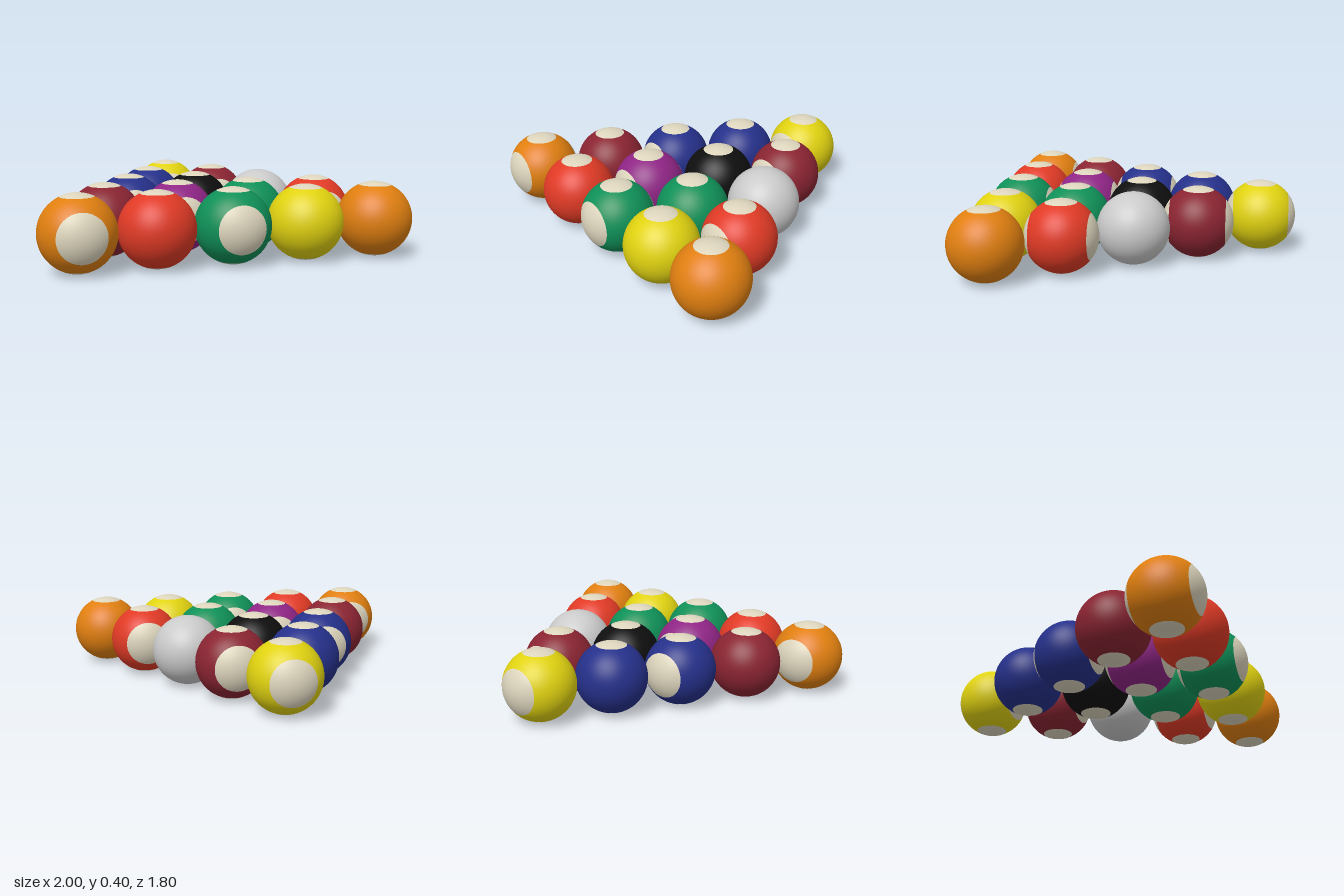
import * as THREE from 'three';

const R = 0.2;
const SPOT = 0.442; // half-angle of the round spots on top and bottom
const CAP = 0.68; // half-angle of the pale caps beside a stripe

const COLORS = {
  cream: 0xddd5bd, orange: 0xe07f10, red: 0xe03a25, green: 0x0f9058, yellow: 0xe0d210,
  maroon: 0x8a2432, purple: 0x8f2585, blue: 0x25308a, black: 0x0e0e0e, silver: 0xcacaca,
};

// [colour, striped, x, z]
const BALLS = [
  ['yellow', true, 0, -0.703],
  ['blue', false, -0.2, -0.355], ['maroon', true, 0.206, -0.355],
  ['blue', true, -0.397, 0], ['black', false, 0, -0.013], ['silver', false, 0.393, -0.013],
  ['maroon', false, -0.6, 0.343], ['purple', true, -0.2, 0.343],
  ['green', false, 0.206, 0.343], ['red', true, 0.598, 0.343],
  ['orange', true, -0.8, 0.697], ['red', false, -0.4, 0.697], ['green', true, 0, 0.697],
  ['yellow', false, 0.4, 0.697], ['orange', false, 0.8, 0.697],
];

// Part of a sphere between two angles measured from its upper pole
const zone = (from, to, rows, r = R) =>
  new THREE.SphereGeometry(r, 64, rows, 0, Math.PI * 2, from, to - from);

export function createModel() {
  const mats = {};
  for (const [name, color] of Object.entries(COLORS)) {
    mats[name] = new THREE.MeshStandardMaterial({ color });
    mats[name].name = name;
  }

  const fullGeo = zone(0, Math.PI, 40);
  const stripeGeo = zone(CAP, Math.PI - CAP, 24).rotateX(Math.PI / 2);
  const frontCapGeo = zone(0, CAP, 10).rotateX(Math.PI / 2);
  const backCapGeo = zone(Math.PI - CAP, Math.PI, 10).rotateX(Math.PI / 2);
  const topSpotGeo = zone(0, SPOT, 8, R + 0.0008);
  const bottomSpotGeo = zone(Math.PI - SPOT, Math.PI, 8, R + 0.0008);

  const model = new THREE.Group();
  model.name = 'billiardBallRack';

  BALLS.forEach(([color, striped, x, z]) => {
    const ball = new THREE.Group();
    ball.name = `${color}${striped ? 'Striped' : 'Solid'}Ball`;
    ball.position.set(x, R, z);
    const add = (name, geo, mat) => {
      const mesh = new THREE.Mesh(geo, mats[mat]);
      mesh.name = name;
      ball.add(mesh);
    };

    // Body: one full sphere, or a band between two pale caps
    if (striped) {
      add('stripe', stripeGeo, color);
      add('frontCap', frontCapGeo, 'cream');
      add('backCap', backCapGeo, 'cream');
    } else {
      add('body', fullGeo, color);
    }

    // Round spots; the cue ball is plain
    if (color !== 'silver') {
      add('topSpot', topSpotGeo, 'cream');
      add('bottomSpot', bottomSpotGeo, 'cream');
    }
    model.add(ball);
  });
  return model;
}
